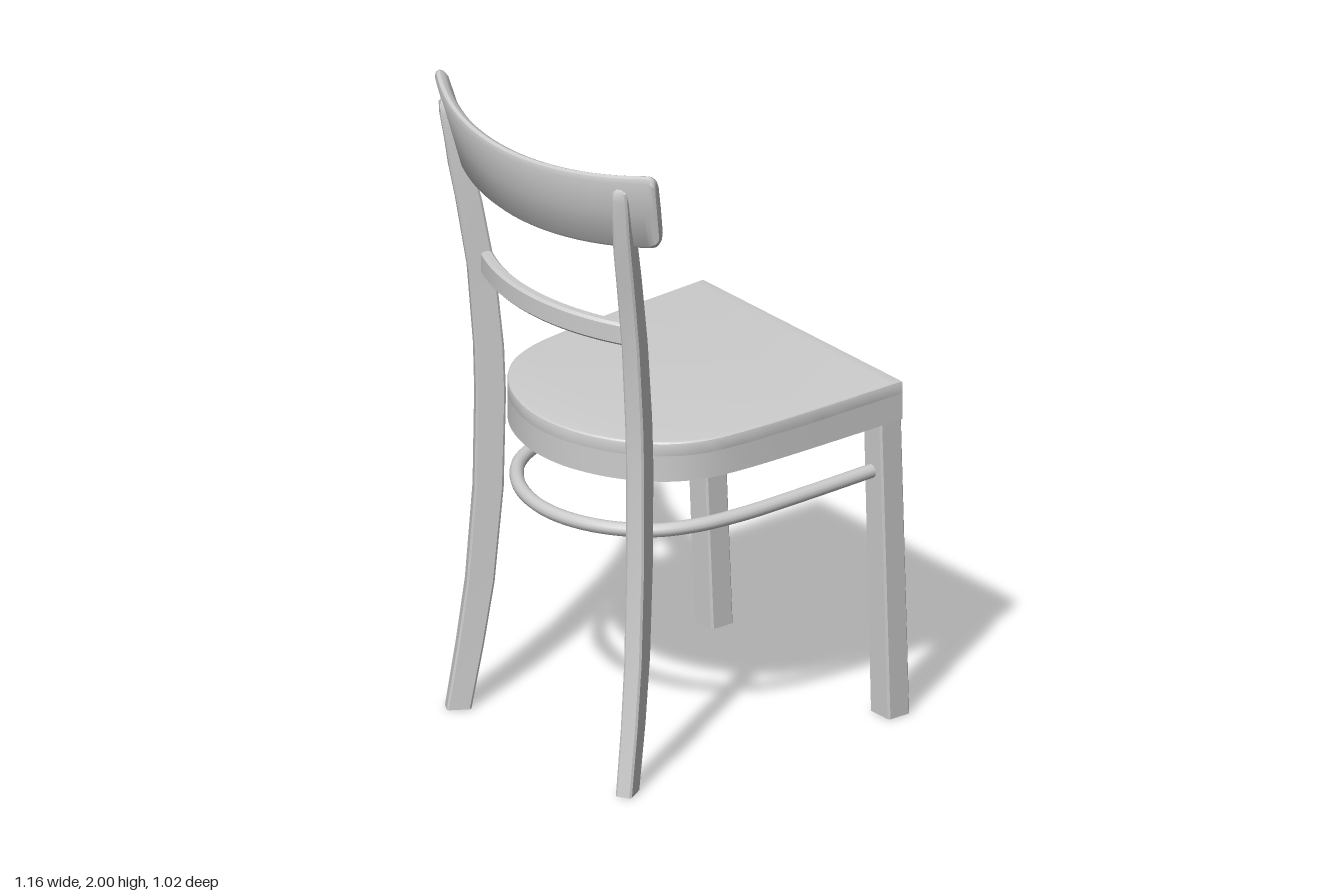
import * as THREE from 'three';
import { toCreasedNormals } from 'three/addons/utils/BufferGeometryUtils.js';

const V = (x, y, z) => new THREE.Vector3(x, y, z);
const material = new THREE.MeshStandardMaterial({ color: 0xcccccc });

function part(name, geometry) {
  const mesh = new THREE.Mesh(geometry, material);
  mesh.name = name;
  return mesh;
}

// Solid skin over a list of equal-sized rings, capped at both ends
function loft(rings) {
  const n = rings[0].length, last = (rings.length - 1) * n, index = [];
  for (let i = 0; i < rings.length - 1; i++) {
    for (let j = 0; j < n; j++) {
      const a = i * n + j, b = i * n + (j + 1) % n;
      index.push(a, b, b + n, a, b + n, a + n);
    }
  }
  for (let j = 1; j < n - 1; j++) {
    index.push(0, j + 1, j, last, last + j, last + j + 1);
  }
  const geometry = new THREE.BufferGeometry().setFromPoints(rings.flat());
  geometry.setIndex(index);
  return toCreasedNormals(geometry, 0.6);
}

// Rectangle w x t with small chamfers, counterclockwise
function chamferRect(w, t, c = 0.006) {
  const a = w / 2, b = t / 2;
  return [[a, -b + c], [a, b - c], [a - c, b], [-a + c, b],
    [-a, b - c], [-a, -b + c], [-a + c, -b], [a - c, -b]];
}

// Horizontal section of an upright post, u being its width direction
function postRing(center, u, w, t) {
  const v = V(0, 1, 0).cross(u);
  return chamferRect(w, t).map(([p, q]) =>
    center.clone().addScaledVector(u, p).addScaledVector(v, q));
}

// Slat bent around a vertical axis at x = cx; section(k, arcFromEnd) gives [radius, y] points
function bentSlat(cx, halfAngle, radius, section, steps = 40) {
  const rings = [];
  for (let i = 0; i <= steps; i++) {
    const k = Math.sin((i / steps - 0.5) * Math.PI), angle = k * halfAngle;
    rings.push(section(k, (1 - Math.abs(k)) * halfAngle * radius).map(([r, y]) =>
      V(cx - r * Math.cos(angle), y, r * Math.sin(angle))));
  }
  return loft(rings);
}

// Half outline of the seat as [x, z], front corner to back centre
const HALF = [[0.545, 0.467], [0.25, 0.459], [0, 0.446], [-0.15, 0.421], [-0.26, 0.36],
  [-0.35, 0.25], [-0.403, 0.12], [-0.418, 0]];

function seatOutline(Type, scale) {
  const half = HALF.map(([x, z]) => new THREE.Vector2(0.06 + (x - 0.06) * scale, z * scale));
  const other = half.slice(0, -1).reverse().map(p => new THREE.Vector2(p.x, -p.y));
  const curve = new THREE.SplineCurve([...half, ...other]);
  return new Type(curve.getPoints(72));
}

// Lay an extrusion flat at height y, rising slightly to the front
function layFlat(geometry, y) {
  geometry.rotateX(-Math.PI / 2).translate(0, y, 0);
  const p = geometry.attributes.position;
  for (let i = 0; i < p.count; i++) p.setY(i, p.getY(i) + 0.02 * p.getX(i));
  return toCreasedNormals(geometry, 0.5);
}

function backPost(side) {
  // x, y, z, radial width, tangential thickness
  const stations = [
    [-0.422, 0, 0.397, 0.073, 0.05], [-0.39, 0.2, 0.383, 0.078, 0.052],
    [-0.364, 0.4, 0.369, 0.082, 0.054], [-0.344, 0.7, 0.355, 0.086, 0.056],
    [-0.34, 1.0, 0.351, 0.088, 0.056], [-0.345, 1.15, 0.352, 0.086, 0.056],
    [-0.366, 1.4, 0.36, 0.08, 0.055], [-0.4, 1.62, 0.376, 0.075, 0.055],
    [-0.421, 1.73, 0.387, 0.07, 0.055], [-0.438, 1.8, 0.397, 0.05, 0.052],
    [-0.455, 1.9, 0.409, 0.042, 0.05], [-0.458, 1.93, 0.411, 0.036, 0.042],
    [-0.459, 1.942, 0.411, 0.024, 0.026]];
  const angle = 0.54, u = V(-Math.cos(angle), 0, side * Math.sin(angle));
  const rings = stations.map(([x, y, z, w, t]) => postRing(V(x, y, z * side), u, w, t));
  return loft(rings);
}

function frontLeg(side) {
  const u = V(1, 0, 0);
  return loft([
    postRing(V(0.541, 0, side * 0.414), u, 0.08, 0.09),
    postRing(V(0.504, 1.02, side * 0.422), u, 0.08, 0.084)]);
}

export function createModel() {
  const chair = new THREE.Group();
  chair.name = 'chair';

  // Seat: panel on a hollow apron
  const panel = new THREE.ExtrudeGeometry(seatOutline(THREE.Shape, 1), {
    depth: 0.033, bevelSize: 0.01, bevelThickness: 0.01, bevelOffset: -0.01, bevelSegments: 3 });
  chair.add(part('seatPanel', layFlat(panel, 1.02)));
  const ring = seatOutline(THREE.Shape, 1);
  ring.holes.push(seatOutline(THREE.Path, 0.88));
  const apron = new THREE.ExtrudeGeometry(ring, { depth: 0.082, bevelEnabled: false });
  chair.add(part('seatApron', layFlat(apron, 0.939)));

  // Legs and back posts
  for (const side of [1, -1]) {
    const label = side > 0 ? 'Left' : 'Right';
    chair.add(part('frontLeg' + label, frontLeg(side)));
    chair.add(part('backPost' + label, backPost(side)));
  }

  // Hoop stretcher under the seat
  const hoop = [[0.5, 0.787, 0.413], [0.2, 0.778, 0.408], [0, 0.772, 0.398], [-0.15, 0.768, 0.37],
    [-0.26, 0.764, 0.315], [-0.345, 0.761, 0.215], [-0.39, 0.759, 0.11], [-0.405, 0.758, 0]];
  const path = [...hoop, ...hoop.slice(0, -1).reverse().map(([x, y, z]) => [x, y, -z])];
  const curve = new THREE.CatmullRomCurve3(path.map(p => V(...p)));
  chair.add(part('hoopStretcher', new THREE.TubeGeometry(curve, 90, 0.021, 12)));

  // Curved, leaning crest with rounded corners
  const corner = 0.03;
  const crest = bentSlat(0.285, 0.635, 0.83, (k, d) => {
    const gap = Math.max(0, corner - d);
    const inset = corner - Math.sqrt(corner * corner - gap * gap);
    const low = 1.712 + 0.033 * k * k + inset, high = 1.957 + 0.043 * k * k - inset;
    const lean = y => 0.8 + 0.065 * (y - 1.71) / 0.245;
    return [[-0.03, low], [-0.04, low + 0.012], [-0.042, (low + high) / 2], [-0.038, high - 0.02],
      [-0.03, high - 0.005], [-0.019, high], [-0.008, high - 0.005], [0, high - 0.02],
      [0, (low + high) / 2], [0, low + 0.012], [-0.01, low]]
      .map(([r, y]) => [lean(y) + r, y]);
  });
  chair.add(part('crestRail', crest));

  // Slim middle rail of the back
  const rail = bentSlat(0.3, 0.46, 0.745, () =>
    chamferRect(0.036, 0.07, 0.008).map(([r, h]) => [0.745 + r, 1.425 - h]));
  chair.add(part('middleRail', rail));

  chair.position.z = -0.006;
  const model = new THREE.Group();
  model.add(chair);
  return model;
}
